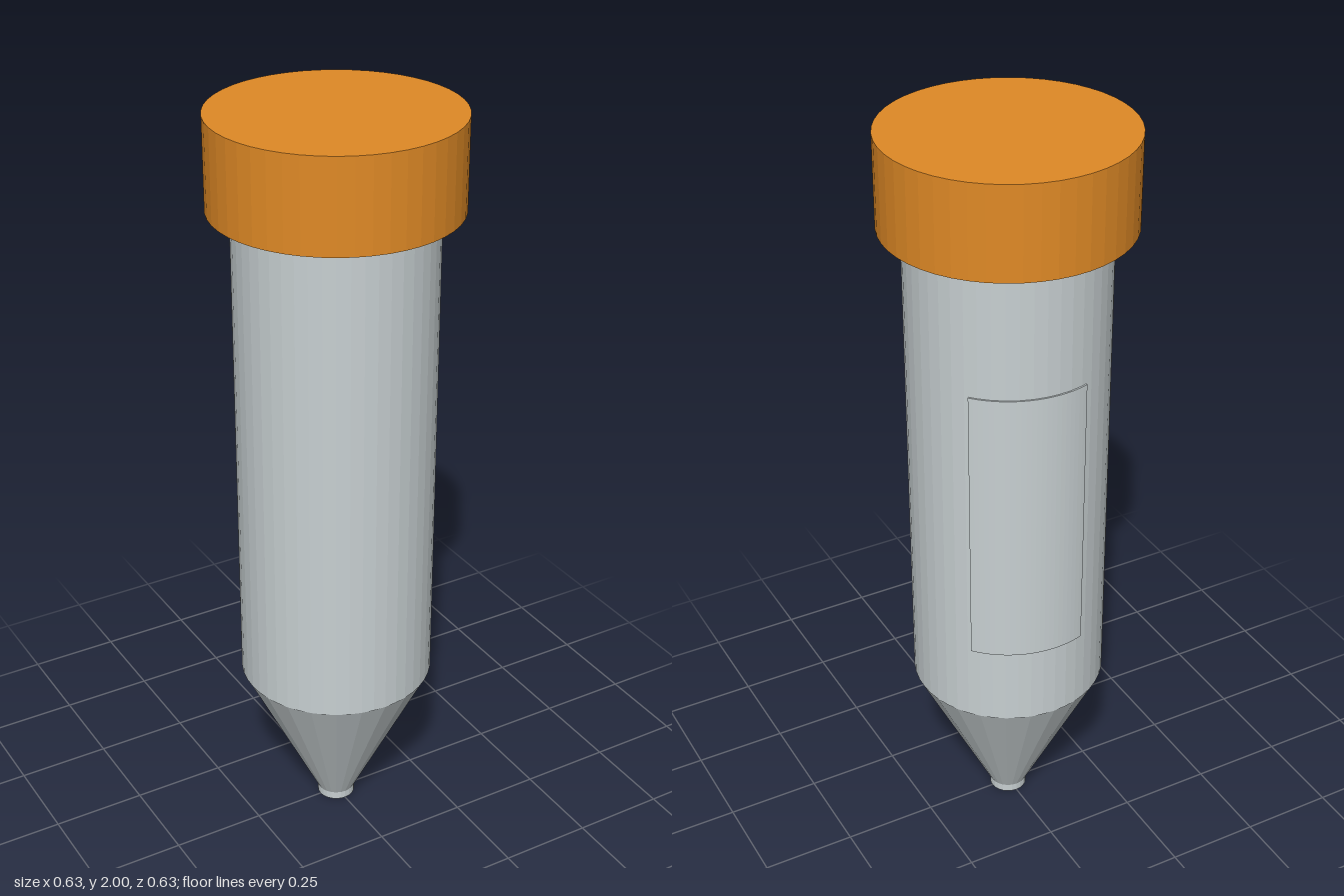
import * as THREE from 'three';

export function createModel() {
  const model = new THREE.Group();
  const grey = new THREE.MeshStandardMaterial({ color: 0xc8d0d2, flatShading: true });
  grey.name = 'pale grey plastic';
  const orange = new THREE.MeshStandardMaterial({ color: 0xe08a26, flatShading: true });
  orange.name = 'orange cap';

  // Upright round section between two heights
  function section(name, material, rTop, rBottom, y0, y1, sides) {
    const mesh = new THREE.Mesh(new THREE.CylinderGeometry(rTop, rBottom, y1 - y0, sides), material);
    mesh.position.y = (y0 + y1) / 2;
    mesh.name = name;
    model.add(mesh);
  }

  section('cap', orange, 0.317, 0.317, 1.76, 2, 48);
  section('tubeBody', grey, 0.258, 0.258, 0.445, 1.76, 48);
  section('taperedBottom', grey, 0.258, 0.05, 0.02, 0.445, 24);
  section('tip', grey, 0.051, 0.051, 0, 0.025, 24);

  // Thin curved label panel wrapped round the back, as a closed arc slab
  const inner = 0.254, outer = 0.262, height = 0.76;
  const start = THREE.MathUtils.degToRad(40), end = THREE.MathUtils.degToRad(108);
  const arc = new THREE.Shape();
  arc.absarc(0, 0, outer, start, end, false);
  arc.absarc(0, 0, inner, end, start, true);
  arc.closePath();
  const geometry = new THREE.ExtrudeGeometry(arc, { depth: height, bevelEnabled: false, curveSegments: 12 });
  geometry.rotateX(-Math.PI / 2);
  const label = new THREE.Mesh(geometry, grey);
  label.position.y = 0.66;
  label.name = 'labelPanel';
  model.add(label);

  return model;
}
